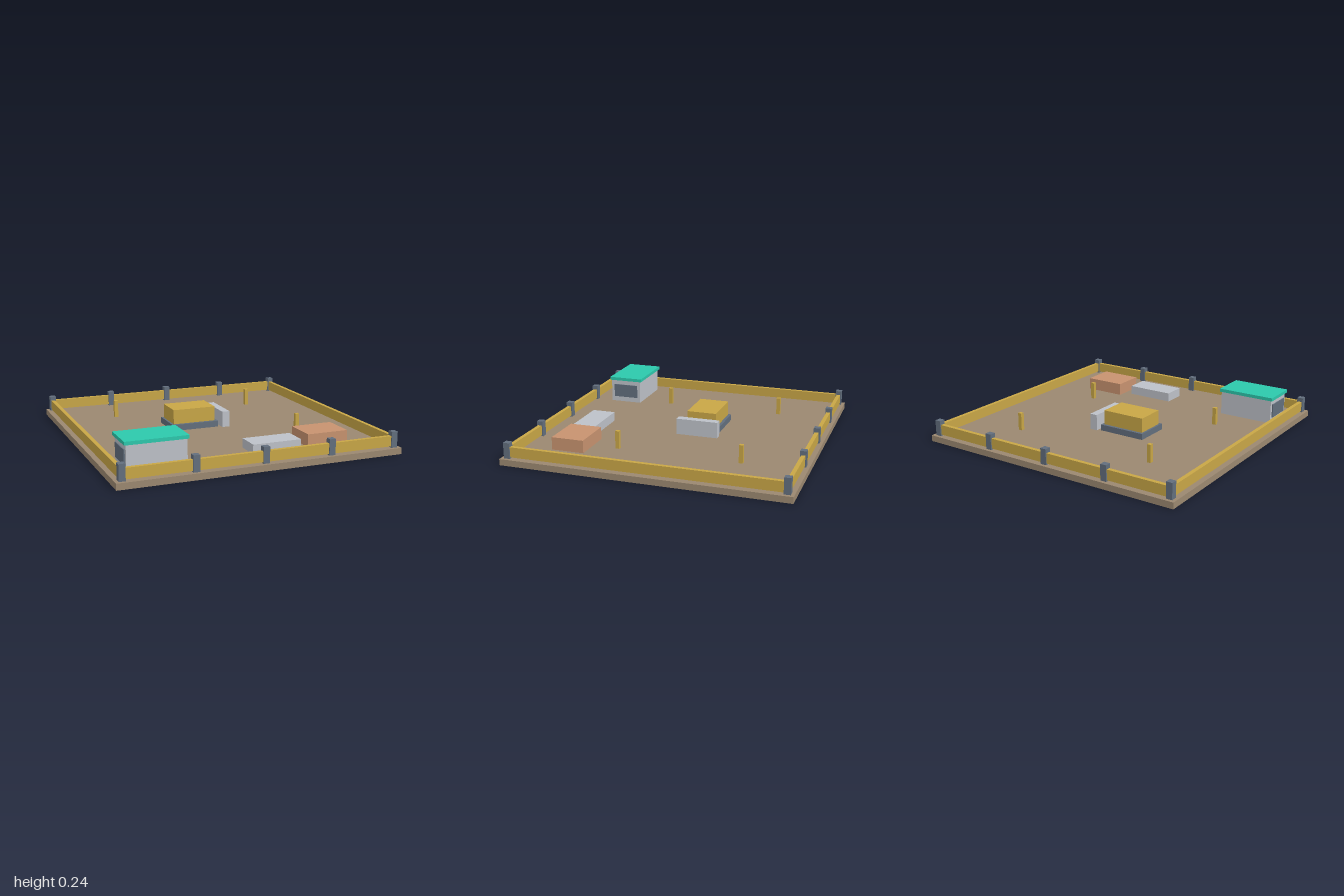
import * as THREE from 'three';

const mat = (name, color) => {
  const m = new THREE.MeshStandardMaterial({ color });
  m.name = name;
  return m;
};

export function createModel() {
  const soil = mat('soil brown', 0x9b8870);
  const yellow = mat('ochre yellow', 0xc8a646);
  const slate = mat('slate grey', 0x626e7d);
  const pale = mat('pale grey', 0xbdc1c8);
  const teal = mat('teal', 0x2cc8ac);
  const clay = mat('terracotta', 0xc7926f);

  const model = new THREE.Group();
  model.name = 'buildingSite';

  // Box given by its extents along each axis
  const block = (parent, name, material, [x0, x1], [y0, y1], [z0, z1]) => {
    const mesh = new THREE.Mesh(new THREE.BoxGeometry(x1 - x0, y1 - y0, z1 - z0), material);
    mesh.position.set((x0 + x1) / 2, (y0 + y1) / 2, (z0 + z1) / 2);
    mesh.name = name;
    parent.add(mesh);
  };
  const group = (name) => {
    const g = new THREE.Group();
    g.name = name;
    model.add(g);
    return g;
  };
  const around = (c, half) => [c - half, c + half];

  const G = 0.044; // ground level
  block(model, 'ground', soil, [-1, 1], [0, G], [-1, 1]);

  // Perimeter fence: four rails, posts along front and back
  const fence = group('fence');
  const E = 0.955;
  for (const s of [-1, 1]) {
    block(fence, 'longRail', yellow, [-E, E], [0.053, 0.125], around(s * E, 0.014));
    block(fence, 'sideRail', yellow, around(s * E, 0.014), [0.053, 0.125], [-E, E]);
    for (let i = -2; i <= 2; i++)
      block(fence, 'fencePost', slate, around(i * E / 2, 0.022), [G, 0.155], around(s * E, 0.022));
  }

  // Site cabin with a window at each end
  const cabin = group('cabin');
  block(cabin, 'cabinWalls', pale, [-0.88, -0.475], [G, 0.218], [0.569, 0.811]);
  block(cabin, 'cabinRoof', teal, [-0.893, -0.465], [0.218, 0.242], [0.557, 0.821]);
  block(cabin, 'windowLeft', slate, [-0.475, -0.468], [0.083, 0.183], [0.593, 0.787]);
  block(cabin, 'windowRight', slate, [-0.888, -0.88], [0.083, 0.183], [0.593, 0.787]);

  // Bulldozer: tracks, body and blade
  const dozer = group('bulldozer');
  block(dozer, 'tracks', slate, [-0.288, 0.065], [G, 0.088], [-0.246, 0.016]);
  block(dozer, 'body', yellow, [-0.273, 0.048], [0.088, 0.193], [-0.225, -0.008]);
  block(dozer, 'blade', pale, [0.088, 0.145], [G, 0.16], [-0.264, 0.043]);

  // Material stacks
  block(model, 'greyStack', pale, [0.005, 0.36], [G, 0.11], [0.588, 0.759]);
  block(model, 'brickStack', clay, [0.418, 0.722], [G, 0.134], [0.513, 0.748]);

  // Survey stakes
  const stakes = group('stakes');
  for (const x of [-0.55, 0.55])
    for (const z of [-0.553, 0.329])
      block(stakes, 'stake', yellow, around(x, 0.014), [G, 0.171], around(z, 0.014));

  return model;
}
